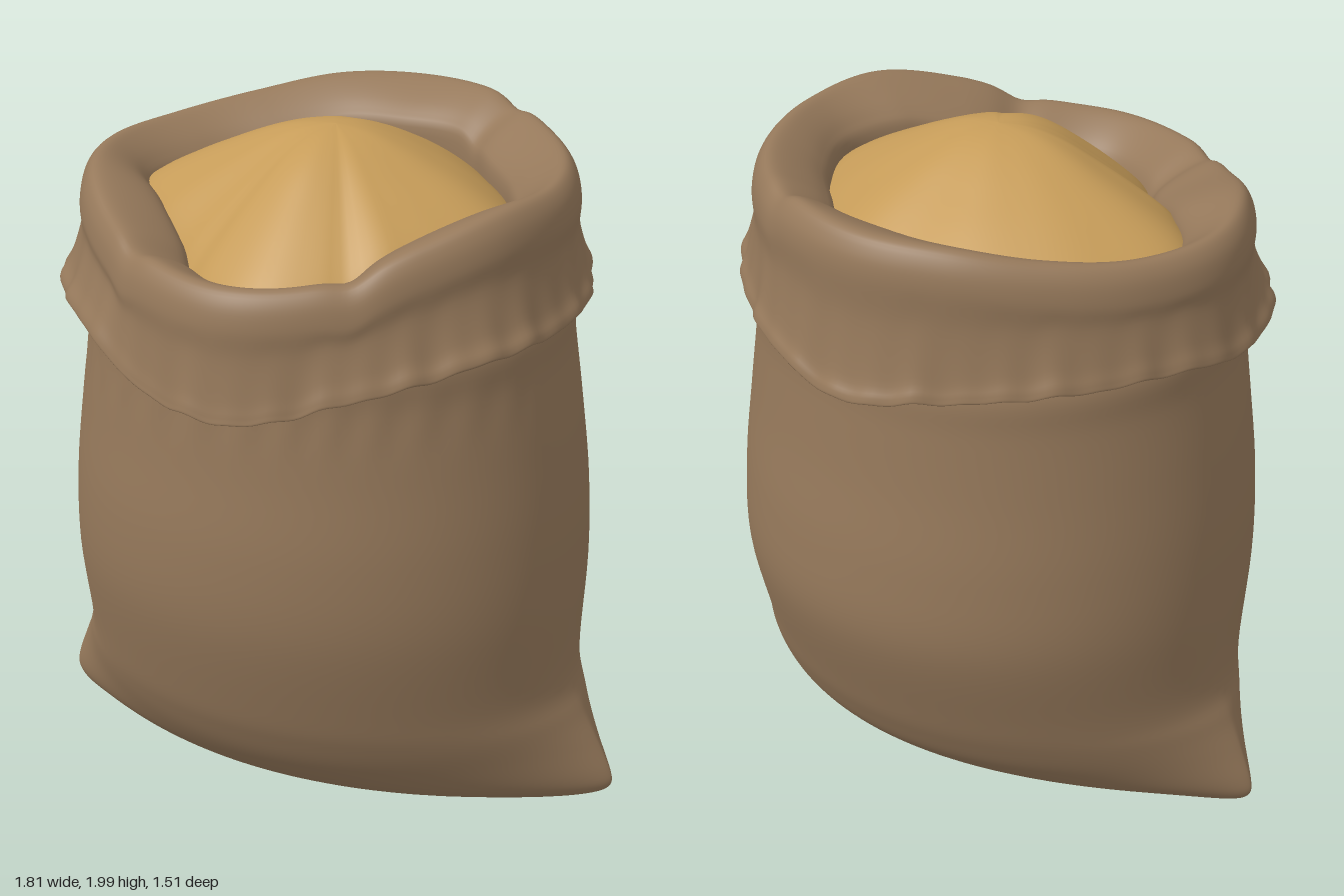
import * as THREE from 'three';

const TAU = Math.PI * 2;

// Smooth Catmull-Rom value at t (in index units), optionally wrapping round
function spline(values, t, closed = false) {
  const n = values.length, i = Math.floor(t), f = t - i;
  const at = k => values[closed ? (k + n) % n : Math.min(n - 1, Math.max(0, k))];
  const [a, b, c, d] = [at(i - 1), at(i), at(i + 1), at(i + 2)];
  return b + 0.5 * f * (c - a + f * (2 * a - 5 * b + 4 * c - d + f * (3 * (b - c) + d - a)));
}

// Skin of rings: point(angle, t) with angle from +x towards +z and t from 0 to 1
function loft(point, around, rows) {
  const pos = [], index = [];
  for (let j = 0; j <= rows; j++) {
    for (let i = 0; i < around; i++) {
      pos.push(...point((i / around) * TAU, j / rows));
      if (j === rows) continue;
      const a = j * around + i, b = j * around + ((i + 1) % around);
      index.push(a, a + around, b, b, a + around, b + around);
    }
  }
  const g = new THREE.BufferGeometry();
  g.setAttribute('position', new THREE.Float32BufferAttribute(pos, 3));
  g.setIndex(index);
  g.computeVertexNormals();
  return g;
}

// Body sections: height, half width, front depth, back depth, corner sharpness
const BODY = [
  [0.008, 0.80, 0.00, 0.00, 1.3],
  [0.012, 0.865, 0.17, 0.15, 1.4],
  [0.045, 0.90, 0.31, 0.31, 1.8],
  [0.10, 0.895, 0.40, 0.42, 1.8],
  [0.20, 0.855, 0.49, 0.53, 1.6],
  [0.30, 0.81, 0.55, 0.59, 1.3],
  [0.42, 0.770, 0.60, 0.64, 1.1],
  [0.70, 0.770, 0.68, 0.73, 1],
  [0.95, 0.760, 0.70, 0.735, 1],
  [1.20, 0.732, 0.685, 0.71, 1],
  [1.40, 0.704, 0.675, 0.695, 1],
  [1.53, 0.692, 0.675, 0.685, 1],
  [1.64, 0.62, 0.62, 0.62, 1],
];
const column = k => BODY.map(row => row[k]);
const [bodyY, bodyX, bodyFront, bodyBack, bodySharp] = [0, 1, 2, 3, 4].map(column);

function bodyPoint(a, t) {
  const s = t * (BODY.length - 1);
  const y = spline(bodyY, s), sin = Math.sin(a), cos = Math.cos(a);
  const depth = spline(sin > 0 ? bodyFront : bodyBack, s);
  // Small gathers in the cloth under the front of the cuff
  const gather = 1 + 0.006 * Math.max(0, sin) * Math.sin(34 * a + Math.sin(5 * a)) * Math.exp(-(((y - 1.38) / 0.07) ** 2));
  const shift = -0.012 * Math.min(1, y / 0.4);
  const lift = y < 0.3 ? 0.025 * Math.max(0, cos) ** 4 * (1 - y / 0.3) : 0;
  // Bottom corners narrow towards blunt tips
  const bulge = 0.15 * Math.abs(sin) + 0.85 * Math.abs(sin) ** spline(bodySharp, s);
  return [
    shift + cos * spline(bodyX, s) * gather,
    y + lift,
    Math.sign(sin) * bulge * depth * gather,
  ];
}

// Cuff values at 16 directions: left, front, right, back and between
const RIM_Y = [1.91, 1.915, 1.86, 1.78, 1.76, 1.77, 1.80, 1.86, 1.865, 1.87, 1.90, 1.94, 1.95, 1.95, 1.92, 1.91];
const HEM_Y = [1.55, 1.54, 1.51, 1.45, 1.39, 1.42, 1.50, 1.515, 1.52, 1.55, 1.54, 1.52, 1.48, 1.52, 1.55, 1.56];
const OUTER = [0.69, 0.68, 0.665, 0.69, 0.73, 0.71, 0.69, 0.72, 0.75, 0.72, 0.69, 0.69, 0.70, 0.69, 0.68, 0.685];
const HEM = [0.735, 0.73, 0.715, 0.72, 0.75, 0.735, 0.745, 0.78, 0.79, 0.75, 0.725, 0.72, 0.745, 0.73, 0.72, 0.73];
const INNER = [0.51, 0.46, 0.43, 0.47, 0.53, 0.49, 0.44, 0.48, 0.57, 0.53, 0.49, 0.49, 0.47, 0.49, 0.46, 0.48];
const round = (values, a) => spline(values, ((a / TAU) * 16 + 16) % 16, true);

// Creases where the rolled rim folds over itself
const FOLDS = [1.08, 2.12, 5.24];
const crease = a => FOLDS.reduce((sum, f) => sum + Math.exp(-(((a - f) / 0.09) ** 2)), 0);

function rimHeight(a) {
  return round(RIM_Y, a) - 0.022 * crease(a);
}

function cuffPoint(a, t) {
  const out = round(OUTER, a), inn = round(INNER, a), top = rimHeight(a);
  const ragged = Math.sin(23 * a) + Math.sin(37 * a + 1) + Math.sin(11 * a + 2);
  const hem = round(HEM_Y, a) + 0.004 * ragged;
  const edge = round(HEM, a) + 0.003 * ragged;
  const profile = [
    [edge - 0.14, hem + 0.09], [edge - 0.05, hem + 0.02], [edge, hem],
    [edge + 0.002, hem + 0.02], [(edge + out) / 2 + 0.004, hem + 0.07],
    [out + 0.004, (hem + top) / 2], [out + 0.006, top - 0.1], [out - 0.01, top - 0.035],
    [out - 0.045, top], [(out + inn) / 2, top - 0.02], [inn + 0.035, top - 0.07],
    [inn + 0.005, top - 0.13], [inn + 0.01, 1.61],
  ];
  const s = t * (profile.length - 1);
  const r = spline(profile.map(p => p[0]), s);
  return [r * Math.cos(a), spline(profile.map(p => p[1]), s), r * Math.sin(a)];
}

// Heap of grain: how far it has dropped at equal steps from centre to edge
const DROP = [0, 0.06, 0.21, 0.43, 0.69, 1, 1.4];
function grainPoint(a, t) {
  const s = (1 - t) * (DROP.length - 1);
  const r = (s / 5) * round(INNER, a);
  const x = r * Math.cos(a), z = r * Math.sin(a);
  const edge = Math.min(1.77, rimHeight(a) - 0.085);
  const lumps = 0.006 * Math.sin(11 * x + 2) * Math.sin(9 * z + 1) * Math.min(1, s / 2);
  return [x, 2 - (2 - edge) * spline(DROP, s) + lumps, z];
}

export function createModel() {
  const burlap = new THREE.MeshStandardMaterial({ color: 0x96795b, side: THREE.DoubleSide });
  burlap.name = 'burlap';
  const golden = new THREE.MeshStandardMaterial({ color: 0xc69c59 });
  golden.name = 'goldenGrain';

  const model = new THREE.Group();
  model.name = 'grainSack';
  const add = (name, geometry, material) => {
    const mesh = new THREE.Mesh(geometry, material);
    mesh.name = name;
    model.add(mesh);
  };
  add('sackBody', loft(bodyPoint, 160, 72), burlap);
  add('foldedCuff', loft(cuffPoint, 256, 60), burlap);
  add('grainHeap', loft(grainPoint, 96, 30), golden);
  return model;
}
